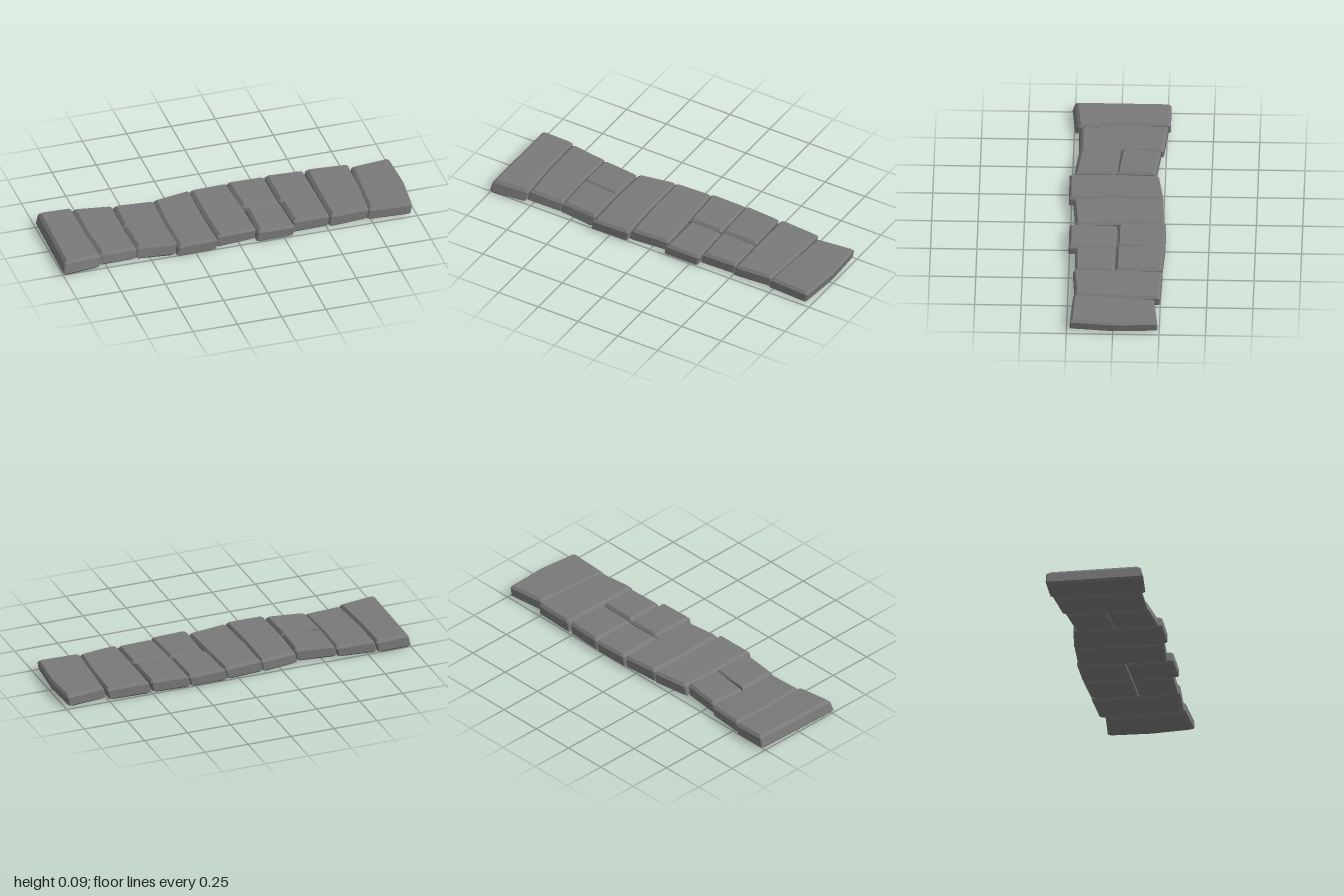
import * as THREE from 'three';

const LEAN = 0.016;   // sideways lean of each stone from bottom to top
const TILT = -0.008;  // the row rises slightly towards the back
const CUT = 0.007;    // clipped vertical corners
const BASE = 0.005;   // height of the undersides

// Outline seen from above: back-left, front-left, front-right, back-right,
// with clipped corners and a bowed midpoint on the left and right sides.
function outline(corners, bowL, bowR, inset) {
  const signs = [[1, 1], [1, -1], [-1, -1], [-1, 1]];
  const c = corners.map(([x, z], i) =>
    new THREE.Vector2(x + signs[i][0] * inset, z + signs[i][1] * inset));
  const pts = [];
  c.forEach((p, i) => {
    const prev = c[(i + 3) % 4], next = c[(i + 1) % 4];
    const toward = q => p.clone().add(q.clone().sub(p).setLength(CUT));
    pts.push(toward(prev), toward(next));
    if (i % 2 === 0) {
      const mid = p.clone().lerp(next, 0.5);
      mid.x += i === 0 ? bowL : bowR;
      pts.push(mid);
    }
  });
  return pts;
}

// Bevelled stone lofted through four stacked outlines
function stone({ c, top, bow = [0, 0], slope = 0 }) {
  const [topL, topR] = top;
  const xL = c[0][0], xR = c[3][0];
  const levels = [[0, 0.011], [0.17, -0.004], [0.8, -0.003], [1, 0.01]];
  const rings = levels.map(([t, inset]) =>
    outline(c, bow[0], bow[1], inset).map(p => {
      const h = THREE.MathUtils.mapLinear(p.x, xL, xR, topL, topR);
      const z = p.y - (p.y > 0 ? slope * t : 0);
      return [p.x + LEAN * (t - 0.6), BASE + t * (h - BASE) + TILT * z, z];
    }));
  const n = rings[0].length, pos = [];
  const tri = (a, b, d) => pos.push(...a, ...b, ...d);
  for (let k = 0; k < 3; k++) {
    for (let i = 0; i < n; i++) {
      const j = (i + 1) % n, lo = rings[k], hi = rings[k + 1];
      tri(lo[i], lo[j], hi[j]);
      tri(lo[i], hi[j], hi[i]);
    }
  }
  for (let i = 1; i < n - 1; i++) {
    tri(rings[3][0], rings[3][i], rings[3][i + 1]);
    tri(rings[0][0], rings[0][i + 1], rings[0][i]);
  }
  const g = new THREE.BufferGeometry();
  g.setAttribute('position', new THREE.Float32BufferAttribute(pos, 3));
  g.computeVertexNormals();
  return g;
}

// Corners (x, z): back-left, front-left, front-right, back-right
const STONES = [
  { name: 'endSlabRight', c: [[-0.983, -0.264], [-0.99, 0.265], [-0.784, 0.244], [-0.8, -0.266]], top: [0.087, 0.081], bow: [0, -0.006], slope: 0.02 },
  { name: 'slab', c: [[-0.79, -0.254], [-0.777, 0.223], [-0.575, 0.22], [-0.58, -0.233]], top: [0.079, 0.072], bow: [-0.008, -0.006], slope: 0.014 },
  { name: 'halfSlabBack', c: [[-0.57, -0.22], [-0.578, -0.014], [-0.363, 0.008], [-0.355, -0.196]], top: [0.079, 0.084] },
  { name: 'halfSlabFront', c: [[-0.578, -0.003], [-0.57, 0.222], [-0.358, 0.245], [-0.363, 0.019]], top: [0.079, 0.084], slope: 0.012 },
  { name: 'slab', c: [[-0.345, -0.213], [-0.35, 0.263], [-0.135, 0.259], [-0.14, -0.243]], top: [0.078, 0.081], bow: [-0.008, -0.006] },
  { name: 'slab', c: [[-0.132, -0.24], [-0.124, 0.236], [0.094, 0.218], [0.073, -0.255]], top: [0.085, 0.078], bow: [-0.006, 0.003] },
  { name: 'halfSlabBack', c: [[0.082, -0.262], [0.093, -0.01], [0.289, -0.01], [0.286, -0.263]], top: [0.08, 0.076] },
  { name: 'halfSlabFront', c: [[0.107, 0.002], [0.102, 0.252], [0.302, 0.251], [0.292, 0.003]], top: [0.08, 0.076] },
  { name: 'halfSlabBack', c: [[0.297, -0.262], [0.299, -0.007], [0.508, -0.006], [0.503, -0.251]], top: [0.083, 0.082] },
  { name: 'halfSlabFront', c: [[0.304, 0.005], [0.312, 0.217], [0.51, 0.212], [0.508, 0.007]], top: [0.083, 0.082] },
  { name: 'slab', c: [[0.523, -0.254], [0.521, 0.222], [0.732, 0.207], [0.756, -0.245]], top: [0.084, 0.078], bow: [-0.003, 0.006] },
  { name: 'endSlabLeft', c: [[0.77, -0.215], [0.738, 0.216], [0.972, 0.229], [0.986, -0.238]], top: [0.078, 0.076], bow: [-0.002, 0.015] },
];

export function createModel() {
  const group = new THREE.Group();
  group.name = 'stonePath';
  const material = new THREE.MeshStandardMaterial({ color: 0x797979, flatShading: true });
  STONES.forEach(s => {
    const mesh = new THREE.Mesh(stone(s), material);
    mesh.name = s.name;
    group.add(mesh);
  });
  return group;
}
